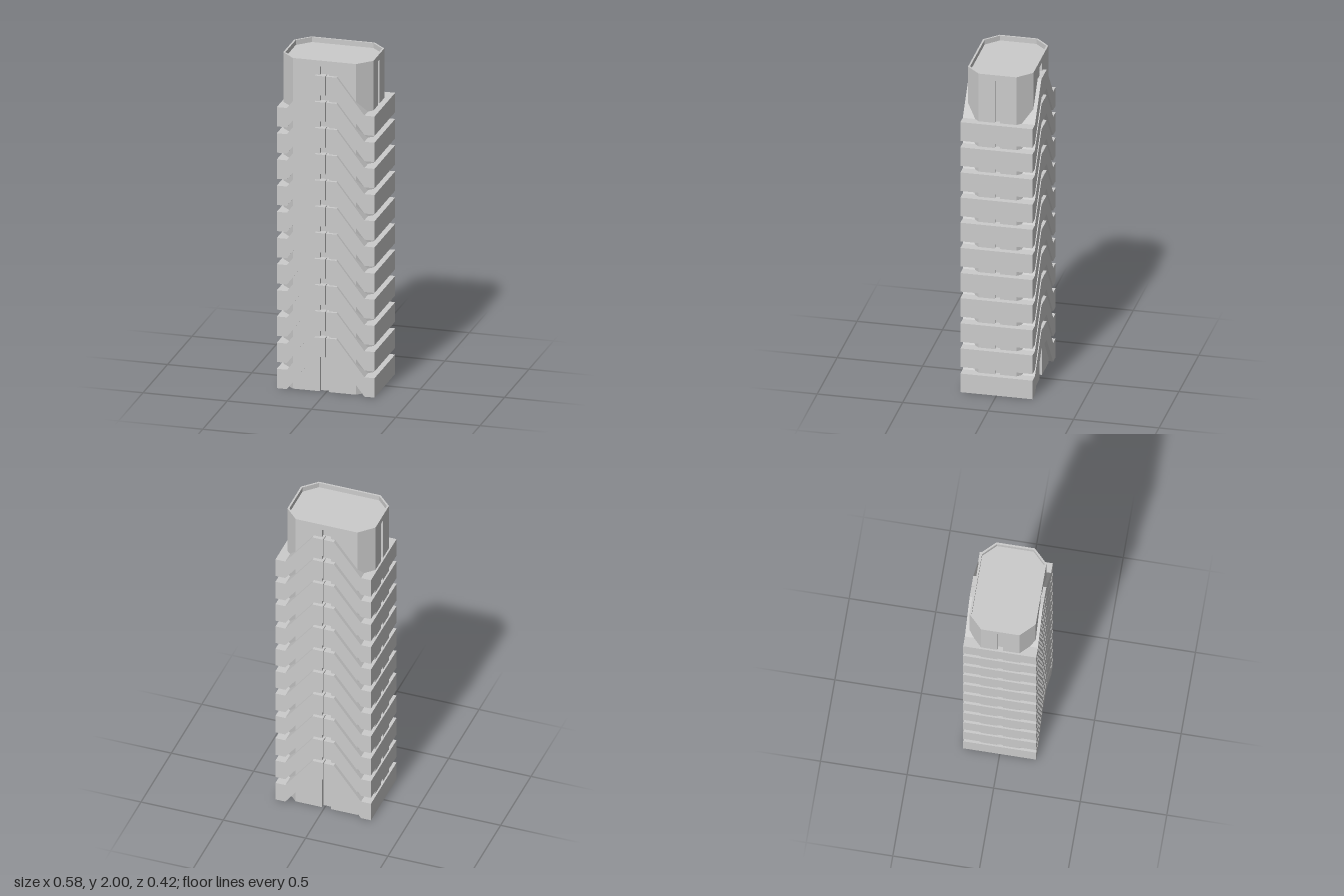
import * as THREE from 'three';

const material = new THREE.MeshStandardMaterial({ color: 0xcccccc, flatShading: true, side: THREE.DoubleSide });

// Core plan: chamfered rectangle, slightly off-centre
const CX = -0.0125, CZ = 0.002, HX = 0.2675, HZ = 0.191, CUT = 0.08;
const ROOF = 1.97, DEPTH = 0.022;

// Counter-clockwise plan outline, pulled in by inset; optional service grooves on all four sides
function planOutline(inset, grooved) {
  const hx = HX - inset, hz = HZ - inset, c = CUT - inset * 0.59;
  const pts = [];
  const sides = [
    { dir: [0, 1], half: hz - c, dist: hx, w: 0.016 },
    { dir: [-1, 0], half: hx - c, dist: hz, w: 0.0275 },
    { dir: [0, -1], half: hz - c, dist: hx, w: 0.016 },
    { dir: [1, 0], half: hx - c, dist: hz, w: 0.0275 },
  ];
  for (const { dir: [dx, dy], half, dist, w } of sides) {
    const add = (t, d) => pts.push(new THREE.Vector2(CX + dx * t + dy * d, -CZ + dy * t - dx * d));
    add(-half, dist);
    if (grooved) {
      const g = w + inset;
      add(-g, dist);
      add(-g, dist - DEPTH);
      add(g, dist - DEPTH);
      add(g, dist);
    }
    add(half, dist);
  }
  return pts;
}

// Extrude a plan upward between two heights
function raise(name, outer, hole, y0, y1) {
  const shape = new THREE.Shape(outer);
  if (hole) shape.holes.push(new THREE.Path(hole));
  const geometry = new THREE.ExtrudeGeometry(shape, { depth: y1 - y0, bevelEnabled: false });
  geometry.rotateX(-Math.PI / 2).translate(0, y0, 0);
  const mesh = new THREE.Mesh(geometry, material);
  mesh.name = name;
  return mesh;
}

export function createModel() {
  const tower = new THREE.Group();
  tower.name = 'tower';

  // Hollow core, open underneath, with a recessed roof behind a thin parapet
  tower.add(
    raise('coreWall', planOutline(0, true), planOutline(0.011, true), 0, ROOF),
    raise('roof', planOutline(0, false), null, ROOF - 0.005, ROOF),
    raise('parapet', planOutline(0, false), planOutline(0.011, false), ROOF, 2),
  );

  // Chevron floors: two mirrored halves with a hairline gap at the ridge
  const T = 0.117, RISE = 0.213, PITCH = 0.1583, FLOORS = 11, ZHALF = 0.211;
  for (const side of [-1, 1]) {
    const gap = side < 0 ? 0.003 : 0.001;
    const profile = [
      [gap, RISE], [0.065, RISE], [0.23, 0], [0.29, 0],
      [0.29, T], [0.23, T], [0.065, RISE + T], [gap, RISE + T],
    ].map(([x, y]) => new THREE.Vector2(side * x, y));
    const geometry = new THREE.ExtrudeGeometry(new THREE.Shape(profile), { depth: 2 * ZHALF, bevelEnabled: false });
    geometry.translate(0, 0, -ZHALF);
    for (let i = 0; i < FLOORS; i++) {
      const slab = new THREE.Mesh(geometry, material);
      slab.name = side < 0 ? 'rightChevronFloor' : 'leftChevronFloor';
      slab.position.y = i * PITCH;
      tower.add(slab);
    }
  }
  return tower;
}
